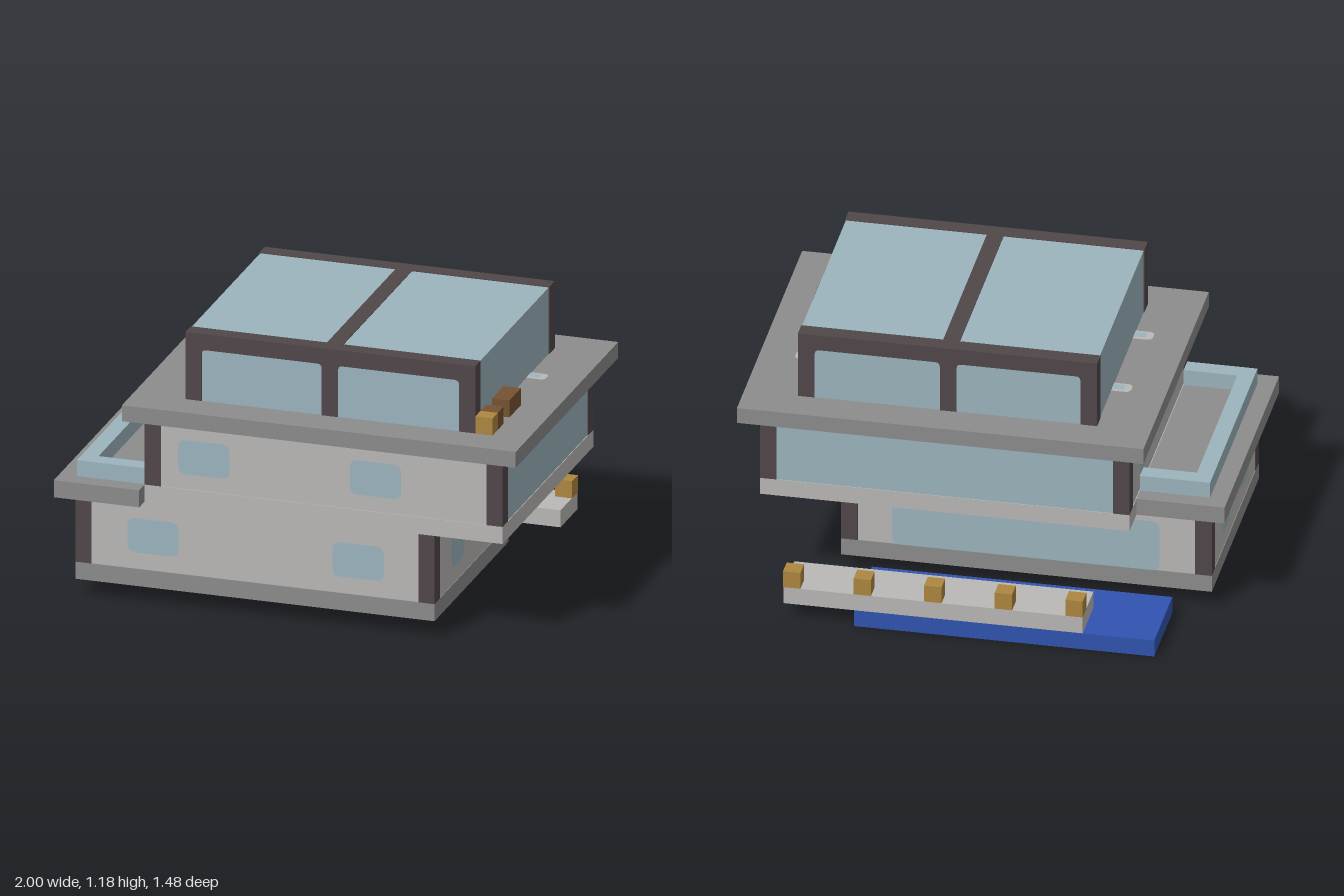
import * as THREE from 'three';

const mat = (name, color) => {
  const m = new THREE.MeshStandardMaterial({ color });
  m.name = name;
  return m;
};

export function createModel() {
  const house = new THREE.Group();
  house.name = 'house';

  const wall = mat('light wall', 0xbbb8b6);
  const slab = mat('grey slab', 0x8c8c8c);
  const frame = mat('dark frame', 0x504749);
  const glass = mat('glass', 0x9cb4be);
  const water = mat('blue pool', 0x3054b0);
  const amber = mat('amber', 0xae8741);
  const brown = mat('brown', 0x765331);

  // Box given by its limits on each axis
  const box = (name, material, [x0, x1], [y0, y1], [z0, z1]) => {
    const mesh = new THREE.Mesh(new THREE.BoxGeometry(x1 - x0, y1 - y0, z1 - z0), material);
    mesh.position.set((x0 + x1) / 2, (y0 + y1) / 2, (z0 + z1) / 2);
    mesh.name = name;
    house.add(mesh);
    return mesh;
  };

  const roundedRect = (w, h, r, target = new THREE.Shape()) => {
    const x = w / 2, y = h / 2;
    target.moveTo(-x + r, -y);
    target.lineTo(x - r, -y).quadraticCurveTo(x, -y, x, -y + r);
    target.lineTo(x, y - r).quadraticCurveTo(x, y, x - r, y);
    target.lineTo(-x + r, y).quadraticCurveTo(-x, y, -x, y - r);
    target.lineTo(-x, -y + r).quadraticCurveTo(-x, -y, -x + r, -y);
    return target;
  };

  // Flat rounded pane, turned to face outward
  const pane = (name, material, w, h, r, position, turnX, turnY) => {
    const mesh = new THREE.Mesh(new THREE.ShapeGeometry(roundedRect(w, h, r), 5), material);
    mesh.position.set(...position);
    mesh.rotation.set(turnX, turnY, 0);
    mesh.name = name;
    house.add(mesh);
  };

  // Square posts on the four corners of a storey
  const T = 0.07;
  const corners = (name, [x0, x1], y, [z0, z1]) => {
    for (const x of [x0, x1 - T])
      for (const z of [z0, z1 - T]) box(name, frame, [x, x + T], y, [z, z + T]);
  };
  const E = 0.003;
  const inset = ([a, b]) => [a + E, b - E];

  // Pool and terrace with bollards
  box('pool', water, [-0.78, 0.48], [0, 0.075], [-0.74, -0.37]);
  box('terrace', wall, [-0.48, 0.775], [0.075, 0.15], [-0.74, -0.52]);
  for (let i = 0; i < 5; i++) {
    const x = -0.48 + i * 0.296;
    box('bollard', amber, [x, x + 0.073], [0.15, 0.225], [-0.74, -0.665]);
  }

  // Ground floor
  const gx = [-0.93, 0.625], gz = [-0.295, 0.67];
  box('baseSlab', slab, gx, [0.075, 0.15], gz);
  box('groundFloorWalls', wall, inset(gx), [0.15, 0.45], inset(gz));
  corners('groundFloorPost', gx, [0.15, 0.45], gz);
  pane('backWindow', glass, 1.12, 0.23, 0.03, [-0.15, 0.265, -0.296], 0, Math.PI);
  for (const z of [0, 0.37]) {
    pane('groundSideWindow', glass, 0.16, 0.16, 0.05, [0.626, 0.3, z], 0, Math.PI / 2);
    pane('groundSideWindow', glass, 0.16, 0.16, 0.05, [-0.931, 0.3, z], 0, -Math.PI / 2);
  }

  // Upper floor: glazed on the left and back sides
  const ux = [-0.63, 0.92], uz = [-0.515, 0.67];
  box('upperFloorSlab', wall, ux, [0.45, 0.525], uz);
  box('upperFloorWalls', [glass, wall, wall, wall, wall, glass], inset(ux), [0.525, 0.82], inset(uz));
  corners('upperFloorPost', ux, [0.525, 0.82], uz);
  for (const z of [-0.23, 0.39])
    pane('upperSideWindow', glass, 0.15, 0.15, 0.045, [-0.631, 0.668, z], 0, -Math.PI / 2);

  // Front windows of both floors
  for (const [x, y] of [[-0.593, 0.298], [0.295, 0.298], [-0.373, 0.667], [0.37, 0.667]])
    pane('frontWindow', glass, 0.222, 0.15, 0.035, [x, y, 0.671], 0, 0);

  // Balcony with a glass rail on three sides
  box('balconySlab', slab, [-1, -0.63], [0.45, 0.525], [-0.375, 0.74]);
  const railY = [0.525, 0.595];
  box('balconyRail', glass, [-0.925, -0.855], railY, [-0.305, 0.665]);
  for (const z of [-0.305, 0.592])
    box('balconyRailEnd', glass, [-0.855, -0.63], railY, [z, z + 0.073]);

  // Roof terrace
  box('roofSlab', slab, [-0.705, 1], [0.82, 0.89], [-0.595, 0.74]);
  for (const [x, z] of [[-0.48, -0.113], [-0.48, 0.33], [0.775, -0.113]]) {
    pane('roofLightRim', wall, 0.155, 0.066, 0.025, [x, 0.892, z], -Math.PI / 2, 0);
    pane('roofLight', glass, 0.1, 0.04, 0.012, [x, 0.894, z], -Math.PI / 2, 0);
  }
  const seatX = [0.775, 0.85], seatY = [0.89, 0.965];
  box('roofBench', brown, seatX, seatY, [0.22, 0.37]);
  box('roofStool', brown, seatX, seatY, [0.445, 0.522]);
  box('roofLamp', amber, seatX, seatY, [0.522, 0.59]);

  // Penthouse glass and its dark frames
  const px = [-0.48, 0.775], pz = [-0.445, 0.59];
  box('penthouseGlass', glass, inset(px), [0.89, 1.182], inset(pz));
  const outline = new THREE.Shape();
  const r = 0.02;
  outline.moveTo(-0.48, 0.89);
  for (const [a, b] of [[-0.41, 0.11], [0.18, 0.705]]) {
    outline.lineTo(a, 0.89);
    outline.lineTo(a, 1.115 - r).quadraticCurveTo(a, 1.115, a + r, 1.115);
    outline.lineTo(b - r, 1.115).quadraticCurveTo(b, 1.115, b, 1.115 - r);
    outline.lineTo(b, 0.89);
  }
  outline.lineTo(0.775, 0.89).lineTo(0.775, 1.185).lineTo(-0.48, 1.185);
  for (const z of [pz[0], pz[1] - T]) {
    const mesh = new THREE.Mesh(
      new THREE.ExtrudeGeometry(outline, { depth: T, bevelEnabled: false, curveSegments: 4 }), frame);
    mesh.position.z = z;
    mesh.name = 'penthouseFrame';
    house.add(mesh);
  }
  box('penthouseRidge', frame, [0.11, 0.18], [1.178, 1.185], [pz[0] + T, pz[1] - T]);

  return house;
}
